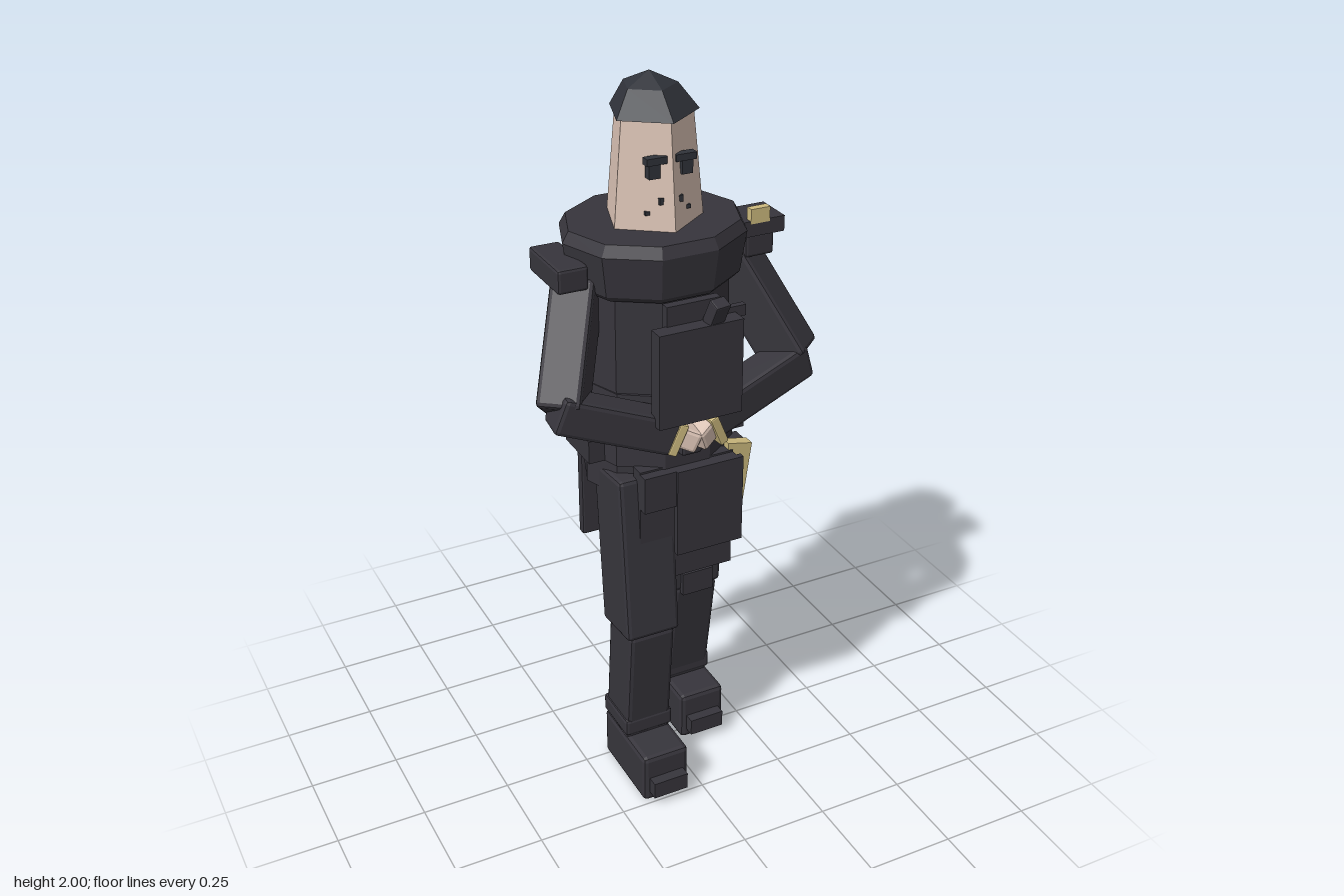
import * as THREE from 'three';
import { RoundedBoxGeometry } from 'three/addons/geometries/RoundedBoxGeometry.js';

export function createModel() {
  const root = new THREE.Group();
  const colour = (name, hex) => {
    const m = new THREE.MeshStandardMaterial({ color: hex });
    m.name = name;
    return m;
  };
  const cloth = colour('charcoal cloth', 0x37353c);
  const hair = colour('blue black hair', 0x30333a);
  const skin = colour('skin', 0xdcc4b6);
  const gold = colour('gold', 0xcfbc80);

  const flat = (g) => {
    const f = g.index ? g.toNonIndexed() : g;
    f.computeVertexNormals();
    return f;
  };
  const add = (name, geo, mat, x = 0, y = 0, z = 0) => {
    const m = new THREE.Mesh(geo, mat);
    m.name = name;
    m.position.set(x, y, z);
    root.add(m);
    return m;
  };
  const bevelled = (w, h, d, b) => flat(new RoundedBoxGeometry(w, h, d, 1, b));
  // Box given by its limits on each axis
  const box = (name, mat, [x0, x1], [y0, y1], [z0, z1], bevel = 0) => {
    const s = [x1 - x0, y1 - y0, z1 - z0];
    const g = bevel ? bevelled(...s, bevel) : new THREE.BoxGeometry(...s);
    return add(name, g, mat, (x0 + x1) / 2, (y0 + y1) / 2, (z0 + z1) / 2);
  };
  // Bevelled bar between two points
  const bar = (name, mat, a, b, w, h, bevel = 0.012) => {
    const p = new THREE.Vector3(...a), q = new THREE.Vector3(...b);
    const m = add(name, bevelled(w, h, p.distanceTo(q), bevel), mat);
    m.position.copy(p).add(q).multiplyScalar(0.5);
    m.lookAt(q);
    return m;
  };
  // Faceted ring body from a profile of [radius, height], squashed to an ellipse
  const body = (name, mat, profile, sides, phase, rx, rz, z) => {
    const pts = profile.map(([r, y]) => new THREE.Vector2(r, y));
    const g = new THREE.LatheGeometry(pts, sides, phase);
    g.scale(rx, 1, rz);
    return add(name, flat(g), mat, 0, 0, z);
  };
  const side = Math.PI / 2;

  // Legs: the right one steps forward
  for (const [label, s, foot, shinTop, shinLow, thighTop, thighLow] of [
    ['right', -1, 0.11, 0.09, 0.055, 0.04, 0.085],
    ['left', 1, -0.09, -0.075, -0.135, -0.075, -0.09],
  ]) {
    const x = s * 0.11;
    box(label + 'Boot', cloth, [x - 0.07, x + 0.07], [0, 0.15], [foot - 0.13, foot + 0.13], 0.014);
    box(label + 'ToeCap', cloth, [x - 0.052, x + 0.052], [0.03, 0.08], [foot + 0.12, foot + 0.16]);
    box(label + 'BootCuff', cloth, [x - 0.073, x + 0.073], [0.155, 0.21], [shinLow - 0.073, shinLow + 0.078], 0.01);
    bar(label + 'Shin', cloth, [x, 0.14, shinLow], [x, 0.515, shinTop], 0.134, 0.14);
    bar(label + 'Thigh', cloth, [x, 0.5, thighLow], [x, 0.98, thighTop], 0.157, 0.165);
  }
  box('kneePatch', cloth, [0.06, 0.155], [0.49, 0.56], [-0.06, 0.008]);

  // Jacket, belt and collar
  body('jacketHem', cloth, [[0, 0.915], [1, 0.915], [1, 1.02], [0, 1.02]], 10, side, 0.205, 0.18, -0.045);
  body('jacketBack', cloth, [[0, 1.06], [1, 1.06], [1, 1.215], [0, 1.215]], 10, side, 0.202, 0.183, -0.045);
  body('torso', cloth, [[0, 1.02], [1, 1.02], [1, 1.55], [0, 1.55]], 10, side, 0.2, 0.172, -0.045);
  body('belt', cloth, [[0, 1.01], [1, 1.01], [1, 1.075], [0, 1.075]], 10, side, 0.212, 0.198, -0.045);
  for (const s of [-1, 1]) {
    const x = s * 0.205;
    box('beltPouch', cloth, [x - 0.026, x + 0.026], [1.01, 1.075], [-0.12, 0.03]);
  }
  box('beltBackPouch', cloth, [-0.09, 0.09], [1.015, 1.07], [-0.24, -0.2]);
  body('collar', cloth, [[0, 1.475], [0.87, 1.475], [0.93, 1.49], [1, 1.6], [0.93, 1.63], [0, 1.63]],
    10, side, 0.25, 0.222, -0.058);

  // Shoulder pads and badge
  for (const s of [-1, 1]) {
    const x = s * 0.262;
    box('shoulderPad', cloth, [x - 0.042, x + 0.042], [1.505, 1.57], [-0.15, 0.035], 0.008);
  }
  box('epaulette', cloth, [0.2, 0.33], [1.565, 1.607], [-0.07, 0.04]);
  box('epauletteBadge', gold, [0.23, 0.285], [1.6, 1.64], [0.02, 0.042]);
  box('armBadge', gold, [0.24, 0.297], [1.44, 1.505], [-0.09, -0.01]);

  // Arms folded towards the middle
  bar('rightUpperArm', cloth, [-0.215, 1.49, -0.05], [-0.335, 1.225, 0.11], 0.115, 0.13);
  bar('rightForearm', cloth, [-0.36, 1.245, 0.12], [-0.055, 1.125, 0.155], 0.1, 0.1);
  bar('leftUpperArm', cloth, [0.22, 1.49, -0.05], [0.34, 1.225, 0.085], 0.115, 0.13);
  bar('leftForearm', cloth, [0.36, 1.23, 0.095], [0.055, 1.135, 0.14], 0.1, 0.1);
  for (const s of [-1, 1]) {
    bar('cuff', gold, [s * 0.065, 1.13, 0.16], [s * 0.042, 1.12, 0.163], 0.095, 0.09, 0.004);
    bar('hand', skin, [s * 0.06, 1.135, 0.165], [s * -0.005, 1.105, 0.195], 0.055, 0.06, 0.01);
  }
  box('glove', cloth, [-0.03, 0.03], [1.05, 1.09], [0.13, 0.17], 0.008);

  // Clipboard with clip and pen
  box('board', cloth, [-0.12, 0.115], [1.175, 1.435], [0.175, 0.22]);
  box('boardClip', cloth, [-0.08, 0.07], [1.4, 1.488], [0.155, 0.18]);
  box('boardStrap', cloth, [0.03, 0.145], [1.42, 1.45], [0.157, 0.175]);
  bar('pen', cloth, [0.04, 1.43, 0.195], [0.045, 1.495, 0.225], 0.045, 0.035, 0.004);

  // Hanging panels
  box('apron', cloth, [-0.137, 0.137], [0.665, 1.015], [0.1, 0.14]);
  box('apronPocket', cloth, [-0.137, 0.137], [0.905, 1.01], [0.13, 0.168]);
  box('pocketFlap', cloth, [-0.045, 0.15], [0.755, 1.01], [0.158, 0.175]);
  box('backFlap', cloth, [-0.145, 0.137], [0.625, 0.945], [-0.25, -0.22], 0.006);

  // Tapering sheath
  const blade = new THREE.Shape([[0.125, 1.035], [0.145, 0.745], [0.16, 0.755], [0.197, 1.02]]
    .map(([x, y]) => new THREE.Vector2(x, y)));
  add('sheath', new THREE.ExtrudeGeometry(blade, { depth: 0.032, bevelEnabled: false }), gold, 0, 0, 0.128 - 0.024);
  box('sheathLoop', cloth, [0.12, 0.19], [1.0, 1.02], [0.06, 0.11]);

  // Five-sided head with a pointed cap of hair
  body('head', skin, [[0, 1.6], [0.134, 1.6], [0.104, 1.91], [0, 1.91]], 5, 0, 1, 1, -0.06);
  const cap = body('hairCap', hair, [[0, 1.903], [0.119, 1.903], [0.072, 1.967], [0, 2]], 5, 0, 1, 1, -0.06);
  const cp = cap.geometry.attributes.position;
  for (let i = 0; i < cp.count; i++) {
    if (cp.getY(i) > 1.95) cp.setZ(i, cp.getZ(i) - 0.015);
  }
  cap.geometry.computeVertexNormals();

  // Ponytail from three cross-sections: [front z, back z, height, half width]
  const rings = [[-0.125, -0.165, 1.94, 0.045], [-0.155, -0.205, 1.82, 0.06], [-0.185, -0.22, 1.675, 0.03]];
  const pos = [], idx = [];
  rings.forEach(([f, b, y, w]) => pos.push(-w, y, f, w, y, f, w * 0.6, y + 0.005, b, -w * 0.6, y + 0.005, b));
  for (let r = 0; r < 2; r++) {
    for (let k = 0; k < 4; k++) {
      const a = r * 4 + k, b = r * 4 + (k + 1) % 4;
      idx.push(a, a + 4, b, b, a + 4, b + 4);
    }
  }
  idx.push(0, 1, 2, 0, 2, 3, 8, 10, 9, 8, 11, 10);
  const tail = new THREE.BufferGeometry();
  tail.setAttribute('position', new THREE.Float32BufferAttribute(pos, 3));
  tail.setIndex(idx);
  add('ponytail', flat(tail), hair);

  // Face details
  for (const s of [-1, 1]) {
    const dot = (name, x, y, w, h, z) =>
      box(name, hair, [s * x - w / 2, s * x + w / 2], [y - h / 2, y + h / 2], [z - 0.012, z + 0.012]);
    dot('brow', 0.04, 1.812, 0.056, 0.018, 0.038);
    dot('eye', 0.045, 1.785, 0.03, 0.036, 0.034);
    dot('nostril', 0.024, 1.707, 0.017, 0.017, 0.036);
    dot('mouthCorner', 0.055, 1.675, 0.015, 0.01, 0.018);
  }
  return root;
}
